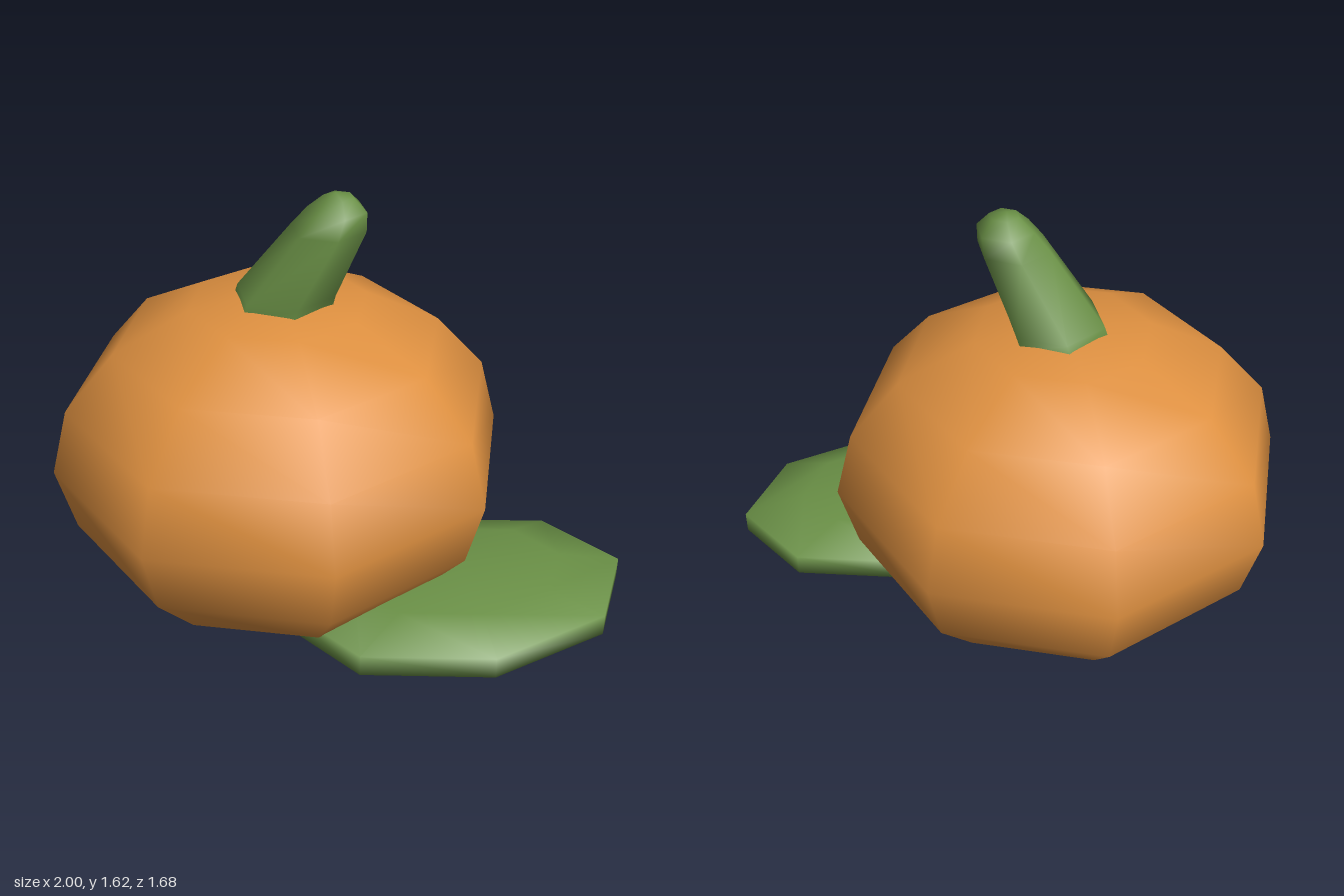
import * as THREE from 'three';

const orange = new THREE.MeshStandardMaterial({ color: 0xde9040 });
orange.name = 'pumpkinOrange';
const green = new THREE.MeshStandardMaterial({ color: 0x6a9046 });
green.name = 'leafGreen';

// Smooth low-poly ellipsoid with the given radii and centre
function ellipsoid(name, material, rows, radii, centre) {
  const geometry = new THREE.SphereGeometry(1, 8, rows);
  geometry.scale(...radii);
  const mesh = new THREE.Mesh(geometry, material);
  mesh.name = name;
  mesh.position.set(...centre);
  return mesh;
}

// Skin six-sided rings [x, y, z, radius] and close the end with a point
function ringedStalk(rings, tip) {
  const sides = 6;
  const points = [];
  const index = [];
  for (const [x, y, z, r] of rings) {
    for (let i = 0; i < sides; i++) {
      const a = (i / sides) * Math.PI * 2;
      points.push(x + r * Math.sin(a), y, z + r * Math.cos(a));
    }
  }
  points.push(...tip);
  const last = rings.length - 1;
  for (let k = 0; k <= last; k++) {
    for (let i = 0; i < sides; i++) {
      const a = k * sides + i;
      const b = k * sides + ((i + 1) % sides);
      if (k < last) index.push(a, b, b + sides, a, b + sides, a + sides);
      else index.push(a, b, rings.length * sides);
    }
  }
  const geometry = new THREE.BufferGeometry();
  geometry.setAttribute('position', new THREE.Float32BufferAttribute(points, 3));
  geometry.setIndex(index);
  geometry.computeVertexNormals();
  return geometry;
}

export function createModel() {
  const model = new THREE.Group();
  model.name = 'pumpkin';

  // Round body
  model.add(ellipsoid('body', orange, 8, [0.82, 0.622, 0.82], [-0.18, 0.627, -0.02]));

  // Thick leaf resting against the front left of the body
  model.add(ellipsoid('leaf', green, 5, [0.66, 0.13, 0.438], [0.37, 0.17, 0.42]));

  // Leaning, tapered stem with a rounded tip
  const stem = new THREE.Mesh(ringedStalk([
    [-0.168, 1.2, -0.012, 0.178],
    [-0.155, 1.25, -0.005, 0.176],
    [-0.027, 1.5, 0.08, 0.13],
    [0.0, 1.565, 0.09, 0.102],
    [0.003, 1.612, 0.095, 0.052],
  ], [-0.005, 1.625, 0.09]), green);
  stem.name = 'stem';
  model.add(stem);

  return model;
}
